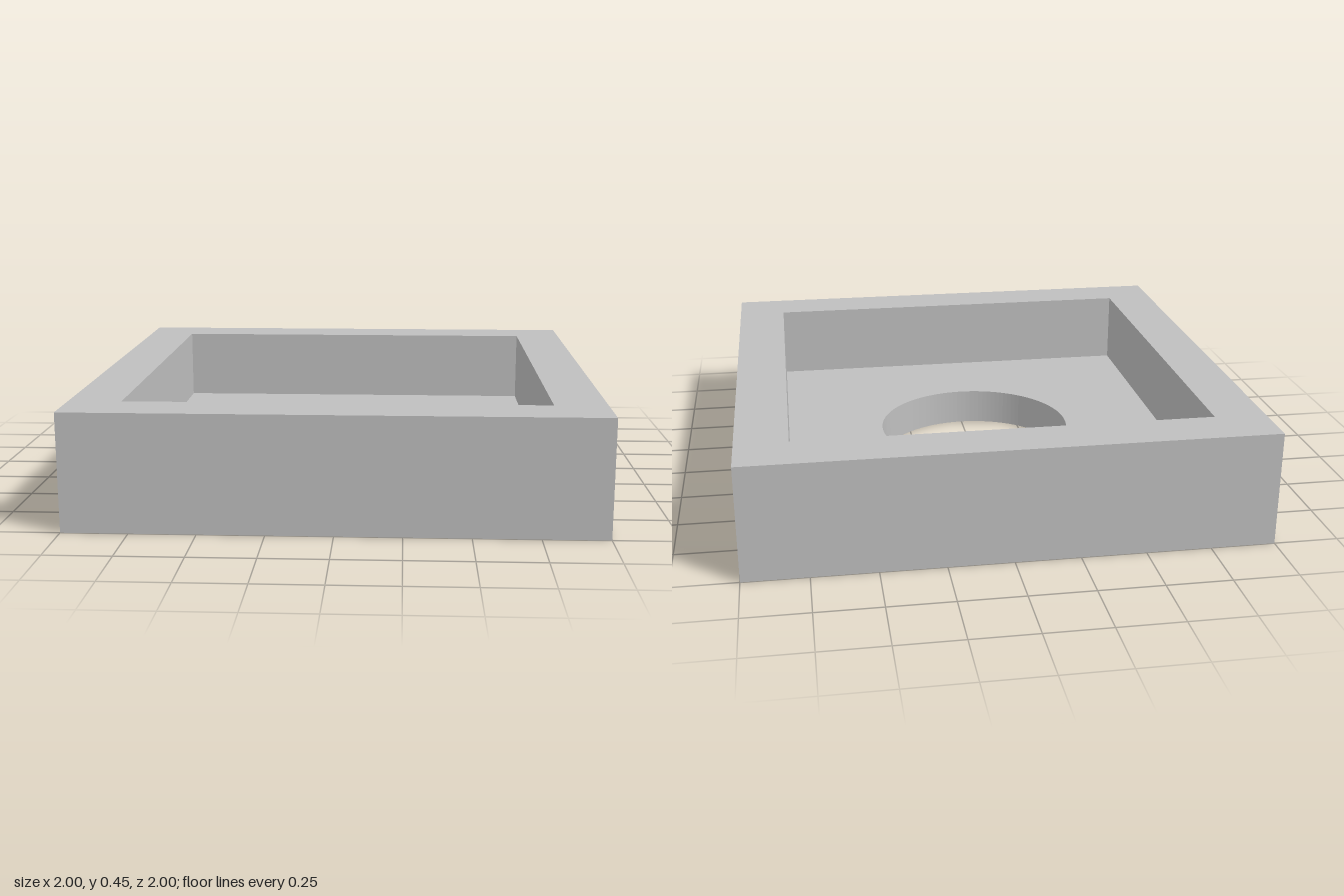
import * as THREE from 'three';

const HEIGHT = 0.45, FLOOR = 0.15;

// Square outline of the given half width
function square(Type, h) {
  return new Type([[-h, -h], [h, -h], [h, h], [-h, h]].map(([x, y]) => new THREE.Vector2(x, y)));
}

// Extrude a plan outline upward from y0 to y1
function slab(name, shape, y0, y1, material) {
  const geometry = new THREE.ExtrudeGeometry(shape, {
    depth: y1 - y0, bevelEnabled: false, curveSegments: 64,
  });
  geometry.rotateX(-Math.PI / 2).translate(0, y0, 0);
  const mesh = new THREE.Mesh(geometry, material);
  mesh.name = name;
  return mesh;
}

export function createModel() {
  const group = new THREE.Group();
  group.name = 'squareTray';
  const grey = new THREE.MeshStandardMaterial({ color: 0xbfbfbf });
  grey.name = 'light grey';

  // Floor with a round through hole
  const floor = square(THREE.Shape, 1);
  floor.holes.push(new THREE.Path().absarc(0, 0, 0.4, 0, Math.PI * 2, true));
  group.add(slab('floor', floor, 0, FLOOR, grey));

  // Raised rim around the square recess
  const rim = square(THREE.Shape, 1);
  rim.holes.push(square(THREE.Path, 0.8));
  group.add(slab('rim', rim, FLOOR, HEIGHT, grey));

  return group;
}
